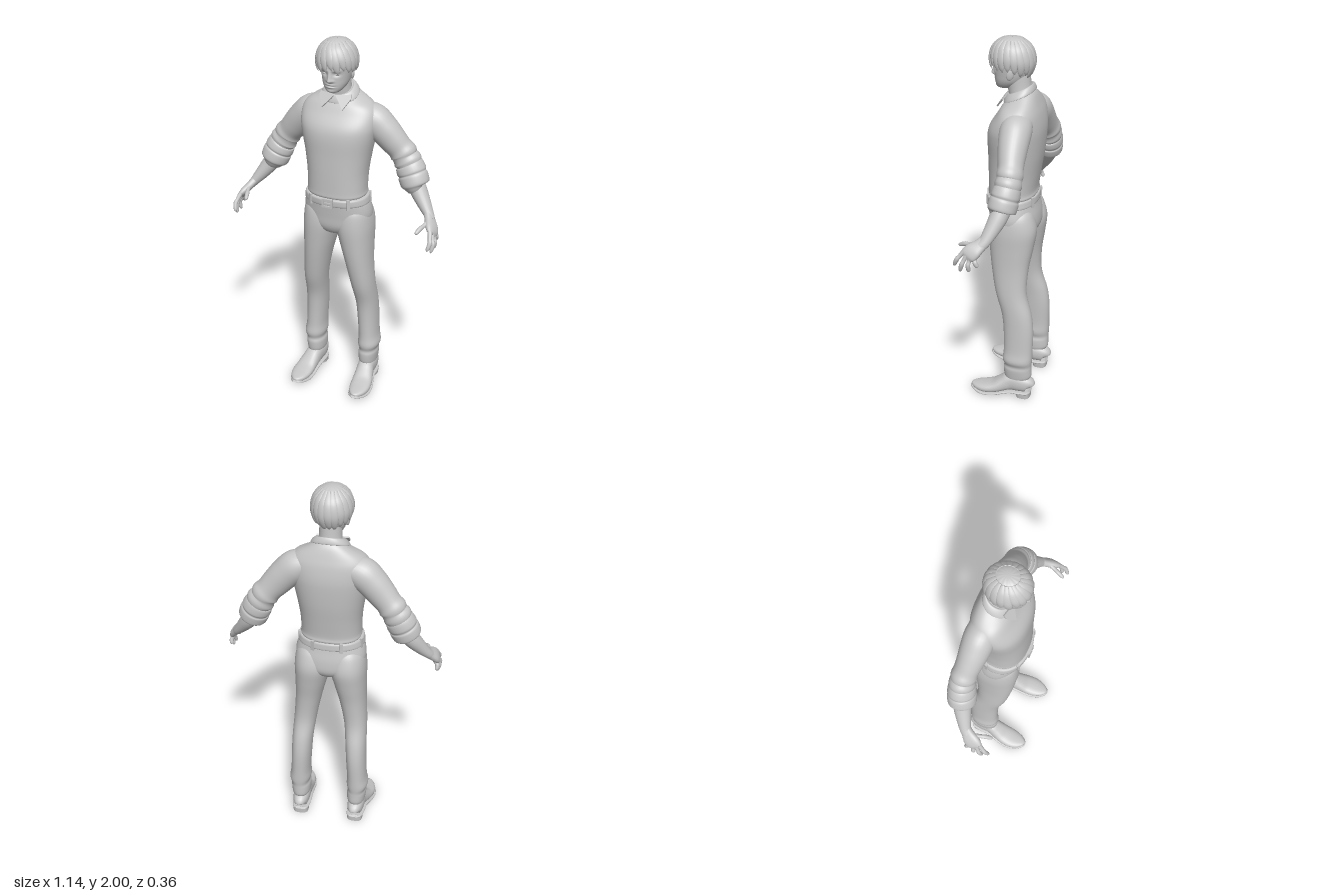
import * as THREE from 'three';

const V = (x, y, z) => new THREE.Vector3(x, y, z);
const mat = new THREE.MeshStandardMaterial({ color: 0xc6c6c6, side: THREE.DoubleSide });
mat.name = 'plain grey';

// Catmull-Rom interpolation of every number in a list of sections
function smooth(secs, sub) {
  const out = [], at = i => secs[Math.min(Math.max(i, 0), secs.length - 1)];
  for (let i = 0; i < secs.length - 1; i++) {
    for (let k = 0; k < sub; k++) {
      const t = k / sub;
      out.push(secs[i].map((p1, j) => {
        const p0 = at(i - 1)[j], p2 = at(i + 1)[j], p3 = at(i + 2)[j];
        return p1 + 0.5 * t * (p2 - p0 + t * (2 * p0 - 5 * p1 + 4 * p2 - p3 + t * (3 * (p1 - p2) + p3 - p0)));
      }));
    }
  }
  out.push(secs[secs.length - 1]);
  return out;
}

// Skin a list of rings (arrays of points) and cap both ends
function skin(rings, capped = true) {
  const pos = [], idx = [], n = rings[0].length, m = rings.length;
  const put = p => pos.push(p.x, p.y, p.z) / 3 - 1;
  rings.forEach(r => r.forEach(put));
  for (let i = 0; i < m - 1; i++) for (let j = 0; j < n; j++) {
    const a = i * n + j, b = i * n + (j + 1) % n;
    idx.push(a, b, a + n, b, b + n, a + n);
  }
  if (capped) [rings[0], rings[m - 1]].forEach((r, end) => {
    const c = put(r.reduce((s, p) => s.add(p), V(0, 0, 0)).divideScalar(n));
    const first = r.map(put)[0];
    for (let j = 0; j < n; j++) {
      const a = first + j, b = first + (j + 1) % n;
      end ? idx.push(c, a, b) : idx.push(c, b, a);
    }
  });
  const g = new THREE.BufferGeometry();
  g.setAttribute('position', new THREE.Float32BufferAttribute(pos, 3));
  g.setIndex(idx);
  g.computeVertexNormals();
  return g;
}

function ring(c, u, v, r1, r2, sides, e) {
  const pw = x => Math.sign(x) * Math.abs(x) ** (2 / e);
  return Array.from({ length: sides }, (_, j) => {
    const a = j / sides * Math.PI * 2;
    return c.clone().addScaledVector(u, r1 * pw(Math.cos(a))).addScaledVector(v, r2 * pw(Math.sin(a)));
  });
}

// Level sections: [y, xMin, xMax, zBack, zFront, forward tilt]
function stack(secs, { sides = 40, sub = 5, e = 2.2, rule } = {}) {
  return skin(smooth(secs.map(s => [...s, 0].slice(0, 6)), sub).map(([y, x0, x1, zb, zf, tilt]) => {
    const r = ring(V((x0 + x1) / 2, y, (zb + zf) / 2), V(0, -tilt, 1), V(1, 0, 0), (zf - zb) / 2, (x1 - x0) / 2, sides, e);
    if (rule) r.forEach(rule);
    return r;
  }));
}
const even = rows => rows.map(([y, rx, ...rest]) => [y, -rx, rx, ...rest]);

// Sections along a path: [x, y, z, radius across, radius along ref]
function limb(secs, { ref = V(0, 0, 1), sides = 24, sub = 5, e = 2 } = {}) {
  const d = smooth(secs, sub), c = d.map(s => V(s[0], s[1], s[2]));
  return skin(d.map((s, i) => {
    const t = c[Math.min(i + 1, c.length - 1)].clone().sub(c[Math.max(i - 1, 0)]).normalize();
    const u = ref.clone().cross(t).normalize();
    return ring(c[i], u, t.clone().cross(u), s[3], s[4], sides, e);
  }));
}

function mirrored(g) {
  const m = g.clone().scale(-1, 1, 1), ix = m.index.array;
  for (let i = 0; i < ix.length; i += 3) [ix[i], ix[i + 1]] = [ix[i + 1], ix[i]];
  return m;
}

const bump = (a, w) => Math.exp(-((a / w) ** 2));

// Face relief: nose, eye sockets, brow, lips and chin
function faceRule(p) {
  if (p.z < 0.03) return;
  const ax = Math.abs(p.x), h = p.y;
  const nose = h < 1.803 ? bump(h - 1.803, 0.009) : Math.max(0, 1 - (h - 1.803) / 0.055);
  p.z += 0.024 * nose * bump(ax, 0.009 + 0.006 * bump(h - 1.8, 0.012))
    - 0.010 * bump(ax - 0.032, 0.017) * bump(h - 1.836, 0.011)
    + 0.004 * bump(ax - 0.03, 0.025) * bump(h - 1.856, 0.008)
    + 0.006 * bump(ax, 0.02) * (bump(h - 1.781, 0.005) + bump(h - 1.768, 0.005))
    - 0.004 * bump(ax, 0.024) * bump(h - 1.7745, 0.003)
    + 0.004 * bump(ax, 0.02) * bump(h - 1.746, 0.009);
}

// Point on the hair volume; turn 0 faces front, drop 0 is the crown
const hairPoint = (turn, drop, k = 1) => {
  const s = Math.sin(drop) ** 0.85;
  return V(0.1 * k * s * Math.sin(turn), 1.882 + 0.115 * k * Math.cos(drop), -0.006 + 0.112 * k * s * Math.cos(turn));
};

export function createModel() {
  const root = new THREE.Group();
  const add = (name, g) => {
    const m = new THREE.Mesh(g, mat);
    m.name = name;
    root.add(m);
    return m;
  };
  const pair = (name, g) => { add(name + 'Left', g); add(name + 'Right', mirrored(g)); };

  // Sweater body
  add('sweater', stack(even([
    [1.172, 0.152, -0.136, 0.1], [1.182, 0.159, -0.141, 0.107], [1.21, 0.157, -0.139, 0.107], [1.3, 0.16, -0.152, 0.108],
    [1.4, 0.174, -0.167, 0.108], [1.5, 0.194, -0.175, 0.108], [1.56, 0.203, -0.174, 0.094],
    [1.62, 0.2, -0.164, 0.056], [1.66, 0.17, -0.15, 0.035, 0.05], [1.695, 0.11, -0.13, 0.022, 0.25],
    [1.715, 0.075, -0.11, 0.01, 0.4]]), { sides: 56, e: 2.35 }));

  // Sleeves with gathered folds and rolled cuffs
  pair('sleeve', limb([
    [0.1, 1.605, -0.075, 0.06, 0.07], [0.165, 1.577, -0.078, 0.083, 0.08], [0.22, 1.53, -0.083, 0.08, 0.076],
    [0.27, 1.475, -0.09, 0.074, 0.068], [0.305, 1.435, -0.097, 0.068, 0.063], [0.325, 1.41, -0.1, 0.073, 0.066],
    [0.335, 1.392, -0.1, 0.067, 0.063], [0.35, 1.37, -0.1, 0.075, 0.067], [0.36, 1.352, -0.098, 0.068, 0.063]], { sides: 32 }));
  pair('cuff', limb([
    [0.355, 1.36, -0.099, 0.064, 0.06], [0.362, 1.348, -0.098, 0.074, 0.068], [0.375, 1.32, -0.094, 0.078, 0.072],
    [0.381, 1.307, -0.092, 0.073, 0.068], [0.386, 1.296, -0.09, 0.078, 0.073], [0.4, 1.262, -0.084, 0.076, 0.073],
    [0.405, 1.25, -0.082, 0.066, 0.066], [0.406, 1.248, -0.082, 0.05, 0.05]], { sides: 32 }));

  // Forearms and hands
  pair('forearm', limb([
    [0.39, 1.28, -0.088, 0.045, 0.048], [0.425, 1.225, -0.074, 0.044, 0.046], [0.465, 1.17, -0.052, 0.035, 0.038],
    [0.5, 1.125, -0.03, 0.025, 0.03], [0.515, 1.105, -0.012, 0.022, 0.029]]));
  pair('palm', limb([
    [0.495, 1.132, -0.034, 0.021, 0.028], [0.515, 1.105, -0.008, 0.021, 0.034], [0.533, 1.083, 0.018, 0.021, 0.043],
    [0.545, 1.064, 0.038, 0.017, 0.042], [0.55, 1.052, 0.049, 0.009, 0.034]], { e: 2.4 }));
  const fingers = {
    indexFinger: [[0.54, 1.078, 0.062], [0.553, 1.033, 0.097], [0.545, 0.993, 0.115]],
    middleFinger: [[0.546, 1.065, 0.046], [0.561, 1.013, 0.069], [0.554, 0.97, 0.082]],
    ringFinger: [[0.546, 1.056, 0.028], [0.561, 1.012, 0.037], [0.554, 0.974, 0.035]],
    littleFinger: [[0.54, 1.055, 0.01], [0.555, 1.03, 0.002], [0.553, 1.005, -0.01]],
    thumb: [[0.512, 1.105, 0.02], [0.492, 1.092, 0.075], [0.48, 1.075, 0.112]],
  };
  for (const [name, [a, b, c]] of Object.entries(fingers)) {
    const mid = (p, q, t) => p.map((x, i) => x + (q[i] - x) * t);
    pair(name, limb([[...a, 0.013, 0.013], [...mid(a, b, 0.6), 0.0105, 0.0105], [...b, 0.0115, 0.0115],
      [...mid(b, c, 0.75), 0.0092, 0.0095], [...c, 0.002, 0.002]], { sides: 12, sub: 4, ref: name === 'thumb' ? V(0, 1, 0) : V(0, 0, 1) }));
  }

  // Trousers
  add('hips', stack(even([
    [0.945, 0.05, -0.09, 0.03], [0.96, 0.1, -0.13, 0.064], [1.0, 0.168, -0.156, 0.086], [1.06, 0.185, -0.156, 0.093],
    [1.12, 0.177, -0.144, 0.1], [1.165, 0.16, -0.136, 0.106]]), { sides: 48 }));
  pair('trouserLeg', stack([
    [0.122, 0.112, 0.205, -0.158, -0.018], [0.14, 0.108, 0.208, -0.166, -0.013], [0.18, 0.107, 0.212, -0.166, -0.01],
    [0.205, 0.112, 0.21, -0.166, -0.014], [0.24, 0.104, 0.221, -0.169, -0.006], [0.3, 0.106, 0.212, -0.17, -0.011],
    [0.42, 0.099, 0.207, -0.171, -0.008], [0.52, 0.092, 0.204, -0.158, 0.004], [0.64, 0.077, 0.199, -0.127, 0.04],
    [0.78, 0.049, 0.191, -0.132, 0.066], [0.9, 0.018, 0.19, -0.152, 0.081], [1.0, -0.005, 0.19, -0.165, 0.088],
    [1.08, 0.005, 0.178, -0.145, 0.08], [1.12, 0.03, 0.15, -0.12, 0.06]]));

  // Belt, loops and buckle
  add('belt', stack(even([
    [1.132, 0.165, -0.139, 0.104], [1.135, 0.175, -0.147, 0.114], [1.153, 0.173, -0.147, 0.117],
    [1.171, 0.168, -0.145, 0.117], [1.174, 0.155, -0.135, 0.107]]), { sides: 56, sub: 3 }));
  for (const a of [-2.7, -1.9, -0.65, 0.65, 1.9, 2.7]) {
    const loop = add('beltLoop', new THREE.BoxGeometry(0.016, 0.056, 0.012));
    loop.position.set(0.174 * Math.sin(a), 1.152, -0.015 + 0.135 * Math.cos(a));
    loop.rotation.y = a;
  }
  const frame = new THREE.Shape([[-0.03, -0.024], [0.03, -0.024], [0.03, 0.024], [-0.03, 0.024]].map(p => new THREE.Vector2(...p)));
  frame.holes.push(new THREE.Path([[-0.02, -0.015], [-0.02, 0.015], [0.02, 0.015], [0.02, -0.015]].map(p => new THREE.Vector2(...p))));
  add('buckle', new THREE.ExtrudeGeometry(frame, { depth: 0.01, bevelEnabled: false })).position.set(0, 1.153, 0.113);
  add('bucklePin', new THREE.BoxGeometry(0.04, 0.007, 0.008)).position.set(0.005, 1.153, 0.119);

  // Shoes: [z, bottom, top, centre x, half width]
  const last = [
    [-0.158, 0.036, 0.095, 0.157, 0.022], [-0.147, 0.032, 0.12, 0.157, 0.038], [-0.1, 0.032, 0.137, 0.158, 0.046],
    [-0.05, 0.032, 0.137, 0.16, 0.046], [-0.01, 0.026, 0.11, 0.166, 0.05], [0.04, 0.014, 0.077, 0.174, 0.056],
    [0.09, 0.009, 0.061, 0.178, 0.056], [0.135, 0.014, 0.052, 0.178, 0.043], [0.163, 0.022, 0.046, 0.178, 0.023],
    [0.173, 0.028, 0.04, 0.178, 0.008]];
  const up = { ref: V(0, 1, 0), e: 2.4 };
  pair('shoe', limb(last.map(([z, b, t, x, w]) => [x, (b + t) / 2, z, w, (t - b) / 2]), up));
  pair('sole', limb(last.map(([z, b, t, x, w]) => [x, b + 0.001, z * 1.01, w + 0.004, 0.007]), { ...up, e: 3.5 }));
  pair('heel', stack([[0, 0.115, 0.199, -0.16, -0.085], [0.034, 0.112, 0.202, -0.162, -0.078]], { e: 3, sub: 2 }));

  // Shirt collar with two points
  add('collar', stack(even([
    [1.702, 0.09, -0.117, 0.026, 0.42], [1.704, 0.099, -0.125, 0.033, 0.42], [1.722, 0.089, -0.121, 0.028, 0.43],
    [1.738, 0.072, -0.112, 0.018, 0.45], [1.734, 0.062, -0.102, 0.01, 0.45]]), { sides: 48 }));
  const flap = new THREE.Shape([[0.004, 0.016], [0.084, 0.028], [0.086, 0.004], [0.052, -0.055]].map(p => new THREE.Vector2(...p)));
  const flapGeo = new THREE.ExtrudeGeometry(flap, { depth: 0.008, bevelEnabled: false });
  flapGeo.setIndex([...Array(flapGeo.attributes.position.count).keys()]);
  flapGeo.rotateX(-0.62).rotateY(0.12).translate(0, 1.692, 0.028);
  pair('collarPoint', flapGeo);

  // Neck, head and ears
  add('neck', limb([[0, 1.64, -0.06, 0.066, 0.062], [0, 1.7, -0.052, 0.062, 0.061], [0, 1.75, -0.043, 0.057, 0.06],
    [0, 1.82, -0.035, 0.056, 0.062]], { sides: 32 }));
  add('head', stack(even([
    [1.734, 0.018, 0.02, 0.06], [1.74, 0.034, -0.01, 0.072], [1.756, 0.05, -0.04, 0.078], [1.78, 0.063, -0.07, 0.081],
    [1.81, 0.07, -0.09, 0.083], [1.845, 0.075, -0.1, 0.086], [1.88, 0.078, -0.105, 0.087], [1.92, 0.077, -0.1, 0.08],
    [1.955, 0.058, -0.08, 0.055], [1.972, 0.02, -0.04, 0.02]]), { sides: 96, sub: 9, e: 2.15, rule: faceRule }));
  pair('eye', new THREE.SphereGeometry(0.0125, 20, 14).scale(1, 0.55, 0.6).translate(0.031, 1.834, 0.066));
  pair('ear', new THREE.SphereGeometry(1, 20, 16).scale(0.009, 0.032, 0.019).rotateY(0.35).rotateX(-0.15).translate(0.079, 1.828, -0.018));

  // Hair: grooved cap with a ragged rim, then overlapping locks
  const rim = a => {
    const front = Math.max(0, Math.cos(a)), back = Math.max(0, -Math.cos(a));
    return 1.72 - 0.12 * front + 0.5 * back + 0.05 * Math.sin(a * 9);
  };
  const cap = [];
  for (let i = 28; i >= 0; i--) {
    cap.push(Array.from({ length: 96 }, (_, j) => {
      const a = j / 96 * Math.PI * 2, t = Math.max(i / 28, 0.004), drop = t * rim(a);
      return hairPoint(a, drop, 1 + 0.014 * t * Math.sin(13 * a - 5 * drop));
    }));
  }
  add('hairCap', skin(cap, false));
  const locks = 20;
  for (let i = 0; i < locks; i++) {
    const a = (i / locks) * Math.PI * 2 - Math.PI, c = Math.cos(a);
    const end = rim(a) + 0.16 + 0.1 * Math.sin(i * 2.4) + (c > 0 ? 0.08 : -0.02);
    const sweep = 0.3 * (0.4 + Math.max(0, c));
    const secs = [0, 0.3, 0.6, 0.85, 1].map((t, k) => {
      const p = hairPoint(a + sweep * (t - 0.5), 0.45 + (end - 0.45) * t, 1.005);
      return [p.x, p.y, p.z, [0.008, 0.018, 0.021, 0.014, 0.001][k], [0.003, 0.006, 0.008, 0.006, 0.001][k]];
    });
    add('hairLock', limb(secs, { ref: V(Math.sin(a), 0.15, c), sides: 12 }));
  }
  return root;
}
